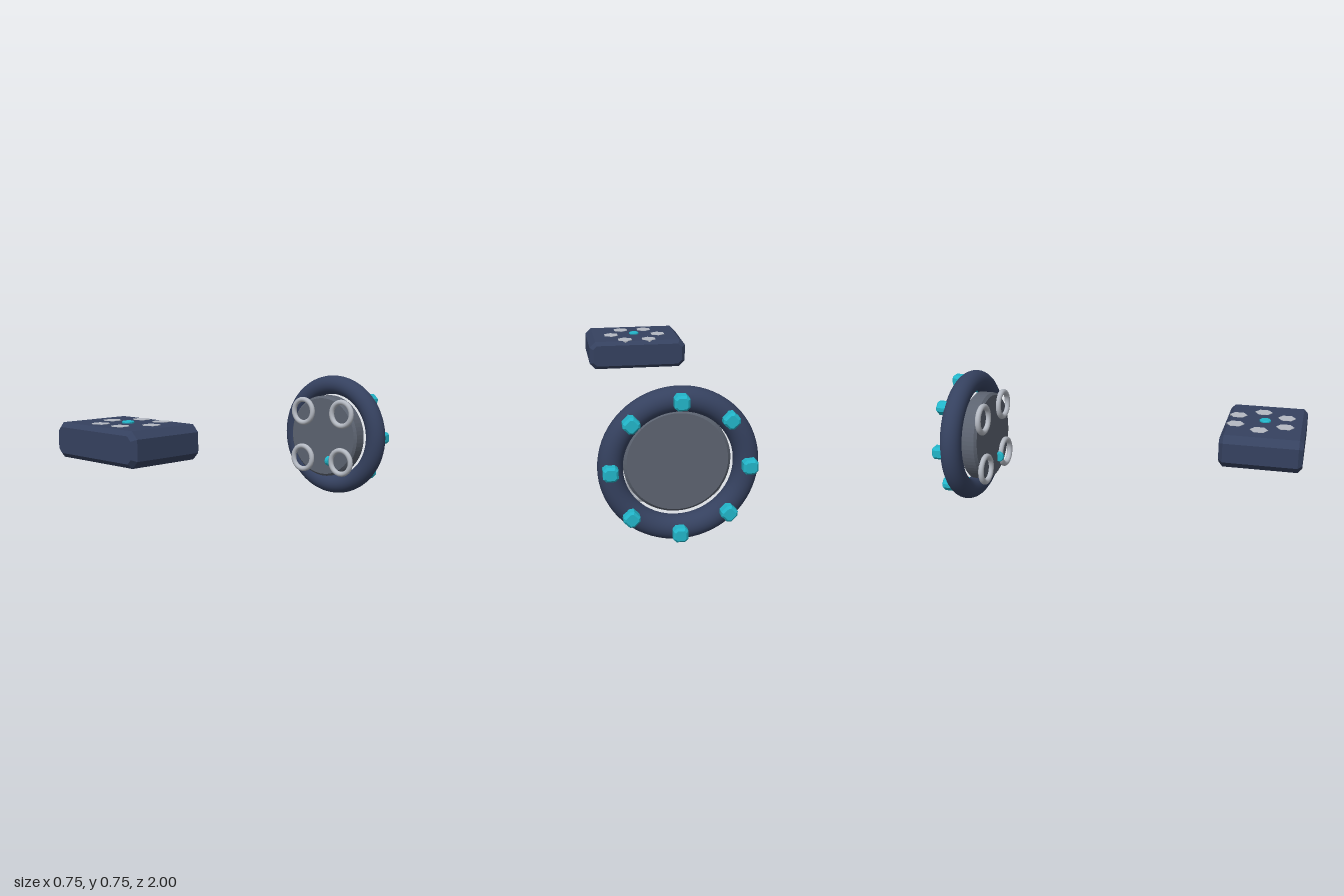
import * as THREE from 'three';

const navy = new THREE.MeshStandardMaterial({ color: 0x35415f });
const slate = new THREE.MeshStandardMaterial({ color: 0x5c6370, flatShading: true });
const silver = new THREE.MeshStandardMaterial({ color: 0xb4b9c2 });
const teal = new THREE.MeshStandardMaterial({ color: 0x22b5c9, flatShading: true });

// Box with cut corners (cx, cy) in its xy outline and a bevel b on the front and back edges
function chamferBox(w, h, d, cx, cy, b) {
  const x = w / 2 - b, y = h / 2 - b;
  const s = new THREE.Shape();
  s.moveTo(-x + cx, -y);
  s.lineTo(x - cx, -y);
  s.lineTo(x, -y + cy);
  s.lineTo(x, y - cy);
  s.lineTo(x - cx, y);
  s.lineTo(-x + cx, y);
  s.lineTo(-x, y - cy);
  s.lineTo(-x, -y + cy);
  s.closePath();
  const g = new THREE.ExtrudeGeometry(s, {
    depth: d - 2 * b, bevelEnabled: true, bevelSize: b, bevelThickness: b, bevelSegments: 1,
  });
  return g.translate(0, 0, -(d - 2 * b) / 2);
}

// Disc about the y axis with bevelled rims
function bevelDisc(r, h, b, segments) {
  const profile = [[0, -h / 2], [r - b, -h / 2], [r, -h / 2 + b], [r, h / 2 - b], [r - b, h / 2], [0, h / 2]];
  return new THREE.LatheGeometry(profile.map(p => new THREE.Vector2(...p)), segments);
}

function add(parent, name, geometry, material, x, y, z) {
  const mesh = new THREE.Mesh(geometry, material);
  mesh.name = name;
  mesh.position.set(x, y, z);
  parent.add(mesh);
  return mesh;
}

export function createModel() {
  const model = new THREE.Group();
  model.name = 'model';

  // Console block with a ring of hexagonal keys and a central button
  const consoleUnit = new THREE.Group();
  consoleUnit.name = 'console';
  model.add(consoleUnit);
  add(consoleUnit, 'consoleBody', chamferBox(0.6, 0.174, 0.426, 0.023, 0.023, 0.022), navy, 0, 0.51, 0.787);
  const keyGeometry = new THREE.CylinderGeometry(0.048, 0.048, 0.02, 6);
  for (let i = 0; i < 6; i++) {
    const a = i * Math.PI / 3;
    add(consoleUnit, 'hexKey', keyGeometry, silver, 0.15 * Math.cos(a), 0.589, 0.764 + 0.15 * Math.sin(a));
  }
  const buttonGeometry = bevelDisc(0.03, 0.024, 0.004, 16);
  add(consoleUnit, 'consoleButton', buttonGeometry, teal, 0, 0.596, 0.784);

  // Upright wheel assembly, centred on its own axis
  const wheel = new THREE.Group();
  wheel.name = 'wheel';
  wheel.position.set(0, 0.38, -0.9);
  model.add(wheel);
  add(wheel, 'rim', new THREE.TorusGeometry(0.318, 0.059, 24, 72), navy, 0, 0, 0);
  const hub = add(wheel, 'hubDisc', bevelDisc(0.254, 0.1, 0.014, 64), slate, 0, 0, 0.07);
  hub.rotation.x = Math.PI / 2;

  // Four small rings on the front of the hub
  const ringGeometry = new THREE.TorusGeometry(0.074, 0.016, 16, 40);
  for (const x of [-0.15, 0.15]) {
    for (const y of [-0.15, 0.15]) add(wheel, 'hubRing', ringGeometry, silver, x, y, 0.129);
  }
  const sideButton = add(wheel, 'hubButton', buttonGeometry, teal, 0.056, -0.15, 0.126);
  sideButton.rotation.z = Math.PI / 2;

  // Eight blocks around the back of the rim
  const blockGeometry = chamferBox(0.07, 0.07, 0.07, 0.009, 0.009, 0.01);
  for (let i = 0; i < 8; i++) {
    const a = i * Math.PI / 4;
    const block = add(wheel, 'rimBlock', blockGeometry, teal, 0.322 * Math.cos(a), 0.322 * Math.sin(a), -0.065);
    block.rotation.z = a;
  }
  return model;
}
